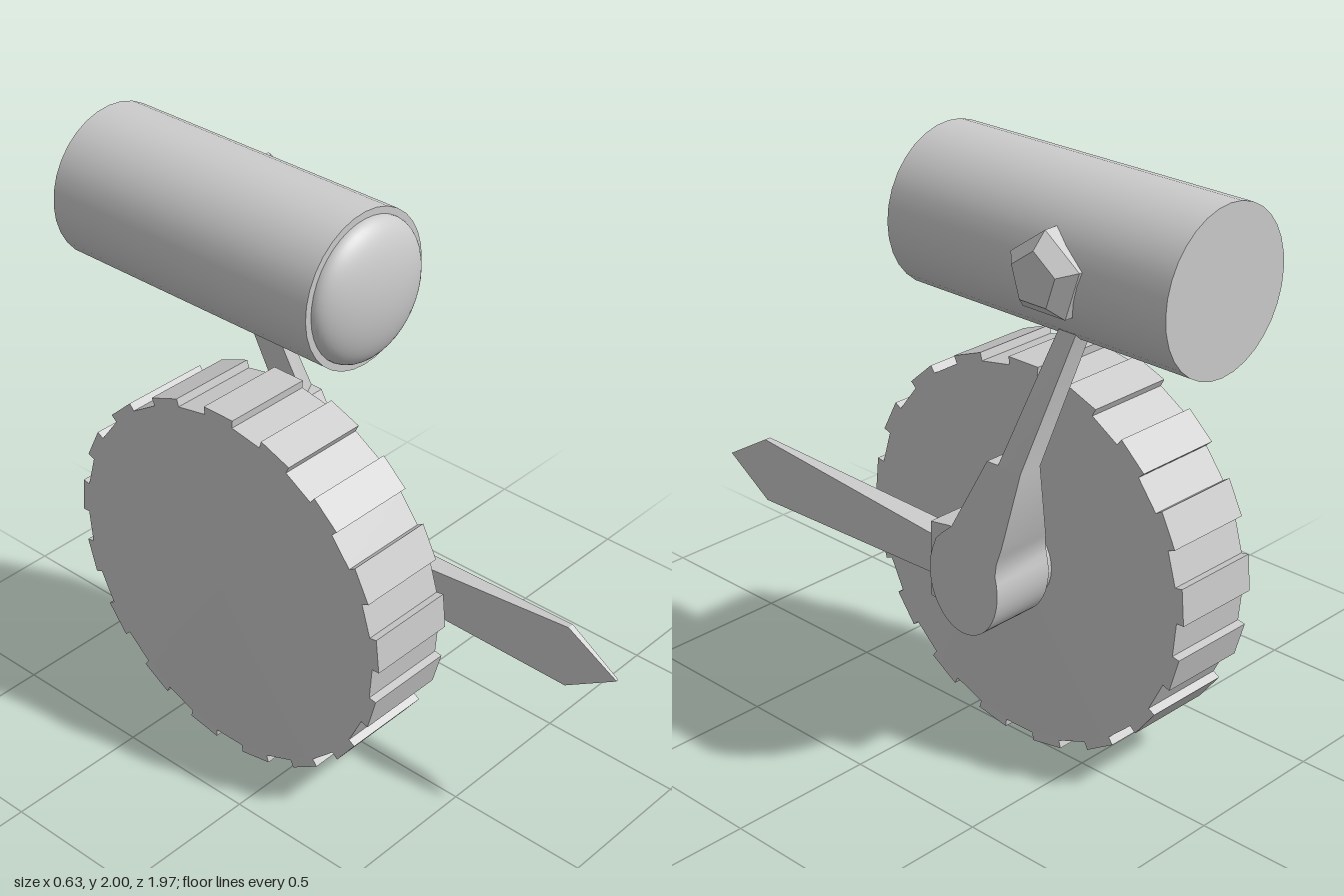
import * as THREE from 'three';
import { toCreasedNormals } from 'three/addons/utils/BufferGeometryUtils.js';

const material = new THREE.MeshStandardMaterial({ color: 0xcccccc });

// Skin a solid through rings of corners (counter-clockwise seen from the end of the loft)
function loft(rings, crease = 0.5) {
  const n = rings[0].length;
  const pos = rings.flat(2);
  const idx = [];
  for (let r = 0; r < rings.length - 1; r++) {
    for (let i = 0; i < n; i++) {
      const a = r * n + i, b = r * n + (i + 1) % n;
      idx.push(a, b, b + n, a, b + n, a + n);
    }
  }
  const last = (rings.length - 1) * n;
  for (let i = 1; i < n - 1; i++) {
    idx.push(0, i + 1, i, last, last + i, last + i + 1);
  }
  const g = new THREE.BufferGeometry();
  g.setAttribute('position', new THREE.Float32BufferAttribute(pos, 3));
  g.setIndex(idx);
  g.computeVertexNormals();
  return toCreasedNormals(g, crease);
}

// Rectangular ring in an x-y plane, for lofts running along +z
const rectZ = (x, y, z, hw, hh) => [
  [x + hw, y - hh, z], [x + hw, y + hh, z], [x - hw, y + hh, z], [x - hw, y - hh, z]];

// Ring in an x-z plane, for lofts running up; outerFront chamfers the outer front edge
const rectY = (y, zf, zb, x0, x1, outerFront = zf) => [
  [x1, y, outerFront], [x1, y, zb], [x0, y, zb], [x0, y, zf]];

export function createModel() {
  const group = new THREE.Group();
  const add = (name, geometry, x = 0, y = 0, z = 0) => {
    const mesh = new THREE.Mesh(geometry, material);
    mesh.name = name;
    mesh.position.set(x, y, z);
    group.add(mesh);
    return mesh;
  };
  const wheelY = 0.657, wheelZ = -0.235;

  // Toothed wheel
  const teeth = 17, step = Math.PI * 2 / teeth;
  const outline = [];
  for (let i = 0; i < teeth; i++) {
    const mid = Math.PI / 2 + i * step;
    for (const [offset, r] of [[-0.25, 0.633], [-0.25, 0.66], [0.25, 0.66], [0.25, 0.633]]) {
      const a = mid + offset * step;
      outline.push(new THREE.Vector2(Math.cos(a) * r, Math.sin(a) * r));
    }
  }
  const wheel = new THREE.ExtrudeGeometry(new THREE.Shape(outline), { depth: 0.315, bevelEnabled: false });
  wheel.rotateY(Math.PI / 2);
  add('wheel', wheel, -0.305, wheelY, wheelZ);

  // Slightly domed wheel faces
  for (const side of [-1, 1]) {
    const face = new THREE.ConeGeometry(0.628, 0.011, 48, 1, true);
    face.translate(0, 0.0055, 0).rotateZ(-side * Math.PI / 2);
    add(side > 0 ? 'leftWheelFace' : 'rightWheelFace', face, side > 0 ? 0.01 : -0.305, wheelY, wheelZ);
  }

  // Axle hub between wheel and arm
  const hub = new THREE.CylinderGeometry(0.137, 0.137, 0.09, 32).rotateZ(Math.PI / 2);
  add('axleHub', hub, 0.045, wheelY, wheelZ);

  // Arm: rounded lower end, then a bent, tapering upright
  const rings = [];
  for (let i = 0; i <= 12; i++) {
    const a = -Math.PI / 2 + 0.08 + (i / 12) * (Math.PI / 2 + 0.3);
    const half = 0.145 * Math.cos(a);
    rings.push(rectY(0.655 + 0.18 * Math.sin(a), -0.23 + half, -0.23 - half, 0.035, 0.265));
  }
  rings.push(
    rectY(0.765, -0.112, -0.37, 0.046, 0.265),
    rectY(0.795, -0.14, -0.38, 0.056, 0.265),
    rectY(0.83, -0.18, -0.392, 0.072, 0.265),
    rectY(1.1, -0.33, -0.466, 0.18, 0.265),
    rectY(1.101, -0.33, -0.466, 0.18, 0.265, -0.375),
    rectY(1.62, -0.497, -0.608, 0.088, 0.158, -0.545));
  add('arm', loft(rings));

  // Socket block and the pointed spike it holds
  add('spikeSocket', loft([
    rectZ(0.155, 0.657, -0.24, 0.07, 0.15),
    rectZ(0.155, 0.657, -0.13, 0.07, 0.143),
    rectZ(0.155, 0.657, -0.05, 0.07, 0.13)], 0.05));
  add('spike', loft([
    rectZ(0.155, 0.657, -0.08, 0.047, 0.066),
    rectZ(0.155, 0.657, 0.8, 0.011, 0.113),
    rectZ(0.155, 0.657, 0.985, 0.005, 0.001)], 0.05));

  // Barrel head with a domed front
  const barrel = new THREE.CylinderGeometry(0.258, 0.258, 1.075, 32).rotateX(Math.PI / 2);
  add('barrel', barrel, 0, 1.742, -0.4475);
  const dome = new THREE.SphereGeometry(0.235, 40, 16, 0, Math.PI * 2, 0, Math.PI / 2);
  dome.rotateX(Math.PI / 2).scale(1, 1, 0.09 / 0.235);
  add('frontDome', dome, 0, 1.742, 0.09);

  // Five-sided knob on the barrel's left side
  const knobRing = (x, r) => Array.from({ length: 5 }, (_, i) => {
    const a = Math.PI / 2 + i * Math.PI * 2 / 5;
    return [x, r * Math.sin(a), -r * Math.cos(a)];
  });
  add('sideKnob', loft([
    knobRing(0.19, 0.137), knobRing(0.265, 0.137), knobRing(0.313, 0.087)], 0.3), 0, 1.745, -0.55);

  return group;
}
